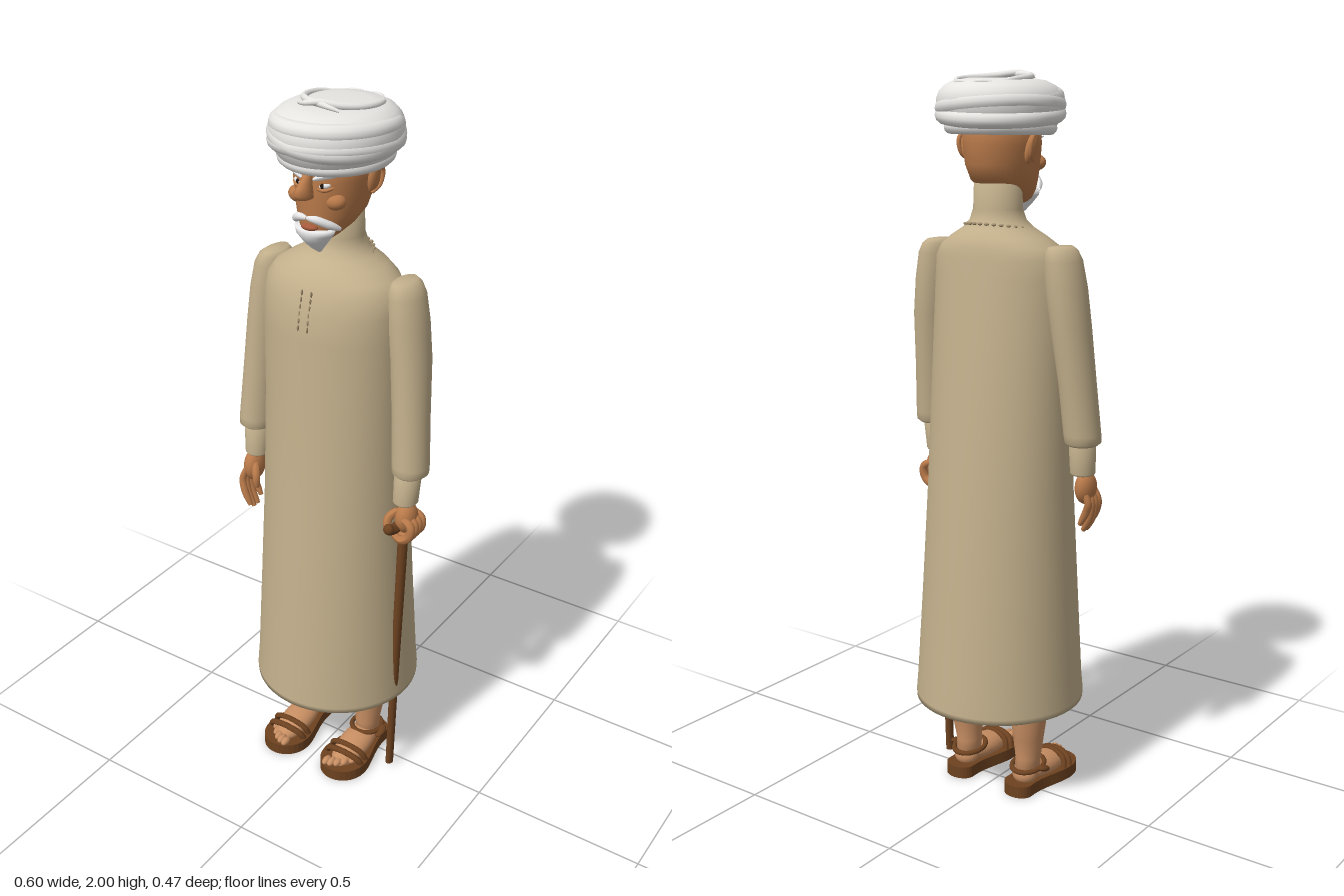
import * as THREE from 'three';

const mat = (name, color, side = THREE.FrontSide) => {
  const m = new THREE.MeshStandardMaterial({ color, side });
  m.name = name;
  return m;
};

// Closed skin over elliptical rings [y, cx, cz, rx, rz], listed bottom to top
function loft(rings, n = 40) {
  const pos = [], idx = [];
  for (const [y, cx, cz, rx, rz] of rings) {
    for (let j = 0; j < n; j++) {
      const a = (j / n) * Math.PI * 2;
      pos.push(cx + Math.cos(a) * rx, y, cz + Math.sin(a) * rz);
    }
  }
  for (let i = 0; i < rings.length - 1; i++) {
    for (let j = 0; j < n; j++) {
      const a = i * n + j, b = i * n + (j + 1) % n;
      idx.push(a, a + n, b, b, a + n, b + n);
    }
  }
  const last = rings.length - 1, c = rings.length * n;
  for (const r of [rings[0], rings[last]]) pos.push(r[1], r[0], r[2]);
  for (let j = 0; j < n; j++) {
    const k = (j + 1) % n;
    idx.push(c, j, k, c + 1, last * n + k, last * n + j);
  }
  const g = new THREE.BufferGeometry();
  g.setAttribute('position', new THREE.Float32BufferAttribute(pos, 3));
  g.setIndex(idx);
  g.computeVertexNormals();
  return g;
}

// Round strand through points, thinned towards its ends by `taper`
function strand(points, r, taper = 0, seg = 20) {
  const curve = new THREE.CatmullRomCurve3(points.map(p => new THREE.Vector3(...p)));
  const g = new THREE.TubeGeometry(curve, seg, r, 10, false);
  const p = g.attributes.position, v = new THREE.Vector3();
  for (let i = 0; i <= seg; i++) {
    const t = i / seg, c = curve.getPointAt(t);
    const k = 1 - taper * Math.pow(Math.abs(2 * t - 1), 3);
    for (let j = 0; j <= 10; j++) {
      v.fromBufferAttribute(p, i * 11 + j).sub(c).multiplyScalar(k).add(c);
      p.setXYZ(i * 11 + j, v.x, v.y, v.z);
    }
  }
  g.computeVertexNormals();
  return g;
}

export function createModel() {
  const root = new THREE.Group();
  root.name = 'robedElder';
  const cloth = mat('robe cloth', 0xc3b08c), seam = mat('robe stitching', 0xa39070);
  const skin = mat('skin', 0xb97a4a), limb = mat('leg skin', 0xc98f63);
  const white = mat('turban white', 0xe6e5e2), hair = mat('white hair', 0xf0f0f0);
  const wood = mat('brown wood and leather', 0x6d4220), dark = mat('pupil', 0x1e1410);
  const lipM = mat('lips', 0xa65a3c);

  const add = (name, geo, m, parent = root) => {
    const o = new THREE.Mesh(geo, m);
    o.name = name;
    parent.add(o);
    return o;
  };
  const ball = (name, m, at, size, rot = [0, 0, 0]) => {
    const o = add(name, new THREE.SphereGeometry(1, 24, 16), m);
    o.position.set(...at);
    o.scale.set(...size);
    o.rotation.set(...rot);
    return o;
  };

  // Long robe and high neck
  add('robe', loft([
    [0.27, 0, 0.002, 0.238, 0.237], [0.285, 0, 0.002, 0.239, 0.237], [0.34, 0, 0.002, 0.234, 0.232],
    [0.6, 0, 0.004, 0.221, 0.212], [0.9, 0, 0.005, 0.208, 0.188], [1.2, 0, 0.008, 0.202, 0.163],
    [1.4, 0, 0.015, 0.2, 0.15], [1.47, 0, 0.015, 0.199, 0.142], [1.52, 0, 0.01, 0.194, 0.132],
    [1.55, 0, 0.004, 0.173, 0.122], [1.575, 0, -0.001, 0.135, 0.108], [1.595, 0, -0.004, 0.1, 0.088],
    [1.615, 0, -0.006, 0.078, 0.072], [1.645, 0, -0.006, 0.067, 0.064], [1.74, 0, -0.006, 0.063, 0.062],
  ], 56), cloth);

  // Stitched collar and placket
  for (let i = 0; i < 28; i++) {
    const a = (i / 28) * Math.PI * 2, f = Math.sin(a);
    ball('collarStitch', seam, [Math.cos(a) * 0.088, 1.598 - f * 0.012, -0.004 + f * 0.083], [0.007, 0.004, 0.005]);
  }
  for (const x of [-0.014, 0.014])
    for (let i = 0; i < 6; i++)
      ball('placketStitch', seam, [x, 1.435 + i * 0.018, 0.162 - i * 0.004], [0.0025, 0.008, 0.004]);

  // Head
  add('head', loft([
    [1.655, 0, 0.085, 0.028, 0.026], [1.67, 0, 0.07, 0.047, 0.05], [1.69, 0, 0.045, 0.065, 0.082],
    [1.72, 0, 0.024, 0.081, 0.104], [1.76, 0, 0.016, 0.091, 0.114], [1.81, 0, 0.014, 0.097, 0.116],
    [1.88, 0, 0.008, 0.1, 0.114],
  ]), skin);
  add('nose', loft([
    [1.77, 0, 0.135, 0.008, 0.016], [1.776, 0, 0.145, 0.02, 0.026], [1.79, 0, 0.152, 0.021, 0.032],
    [1.805, 0, 0.145, 0.015, 0.028], [1.825, 0, 0.13, 0.011, 0.02], [1.842, 0, 0.12, 0.01, 0.015],
  ], 20), skin);
  ball('lowerLip', lipM, [0, 1.696, 0.127], [0.024, 0.009, 0.013]);

  // Goatee
  add('beard', loft([
    [1.618, 0, 0.082, 0.004, 0.006], [1.635, 0, 0.09, 0.018, 0.022], [1.655, 0, 0.096, 0.034, 0.036],
    [1.675, 0, 0.1, 0.05, 0.044], [1.69, 0, 0.1, 0.056, 0.042],
  ], 24), hair);

  // Paired features
  for (const s of [1, -1]) {
    add('moustache', strand([[0, 1.722, 0.138], [s * 0.022, 1.721, 0.134], [s * 0.045, 1.709, 0.117],
      [s * 0.066, 1.692, 0.088]], 0.0105, 0.6), hair);
    add('eyebrow', strand([[s * 0.016, 1.82, 0.133], [s * 0.038, 1.829, 0.126], [s * 0.068, 1.832, 0.102]],
      0.0075, 0.6), hair);
    ball('eye', hair, [s * 0.037, 1.804, 0.115], [0.017, 0.008, 0.009], [0, s * 0.35, s * 0.15]);
    ball('pupil', dark, [s * 0.035, 1.804, 0.121], [0.006, 0.007, 0.005]);
    add('lowerEyelid', strand([[s * 0.019, 1.797, 0.124], [s * 0.038, 1.793, 0.12], [s * 0.058, 1.799, 0.107]],
      0.005, 0.5), skin);
    ball('cheek', skin, [s * 0.052, 1.762, 0.092], [0.03, 0.022, 0.025]);
    ball('ear', skin, [s * 0.104, 1.803, -0.002], [0.013, 0.042, 0.021], [0.15, 0, -s * 0.2]);
    add('earRim', strand([[s * 0.104, 1.768, 0.008], [s * 0.112, 1.785, -0.016], [s * 0.117, 1.822, -0.021],
      [s * 0.115, 1.84, 0], [s * 0.107, 1.822, 0.016]], 0.006, 0.4), skin);
  }

  // Turban: main roll, slanted folds and the crossed cord on top
  const turban = new THREE.Group();
  turban.name = 'turban';
  root.add(turban);
  add('turbanRoll', loft([
    [1.84, 0, 0.008, 0.102, 0.116], [1.838, 0, 0.008, 0.122, 0.134], [1.852, 0, 0.008, 0.138, 0.148],
    [1.875, 0, 0.007, 0.156, 0.164], [1.9, 0, 0.007, 0.165, 0.172], [1.925, 0, 0.006, 0.165, 0.174],
    [1.945, 0, 0.005, 0.157, 0.166], [1.96, 0, 0.002, 0.142, 0.15], [1.972, 0, 0, 0.118, 0.125],
    [1.978, 0, 0, 0.08, 0.085],
  ], 56), white, turban);
  const folds = [[1.853, 0.128, 0.018, 0.02, 0], [1.888, 0.147, 0.022, -0.08, 0.05],
    [1.906, 0.145, 0.024, 0.06, -0.08], [1.93, 0.14, 0.024, -0.06, 0.03]];
  for (const [y, r, t, rx, rz] of folds) {
    const g = new THREE.TorusGeometry(r, t, 12, 56).rotateX(Math.PI / 2).scale(1, 1, 1.05);
    const o = add('turbanFold', g, white, turban);
    o.position.set(0, y, 0.006);
    o.rotation.set(rx, 0, rz);
  }
  for (const s of [1, -1]) {
    add('turbanCord', strand([[s * 0.07, 1.969, -0.092], [s * 0.09, 1.974, -0.062], [s * 0.096, 1.977, -0.02],
      [s * 0.085, 1.98, 0.02], [s * 0.05, 1.985, 0.058], [0, 1.99 + s * 0.002, 0.08],
      [-s * 0.035, 1.987, 0.09], [-s * 0.063, 1.981, 0.082 - s * 0.005]], 0.009, 0.6, 40), white, turban);
    add('turbanTuck', strand([[s * 0.008, 1.967, -0.13], [s * 0.035, 1.968, -0.125], [s * 0.062, 1.966, -0.113]],
      0.006, 0.7), white, turban);
  }

  for (const s of [1, -1]) {
    // Sleeve and cuff
    add('sleeve', loft([
      [1.03, s * 0.25, 0.032, 0.04, 0.042], [1.038, s * 0.251, 0.032, 0.049, 0.051],
      [1.06, s * 0.25, 0.03, 0.05, 0.052], [1.2, s * 0.24, 0.018, 0.049, 0.055],
      [1.35, s * 0.227, 0.004, 0.051, 0.062], [1.45, s * 0.214, 0, 0.052, 0.064],
      [1.52, s * 0.205, -0.003, 0.047, 0.061], [1.545, s * 0.201, -0.004, 0.037, 0.055],
      [1.556, s * 0.198, -0.004, 0.024, 0.046],
    ]), cloth);
    add('cuff', loft([
      [0.945, s * 0.245, 0.043, 0.03, 0.031], [0.95, s * 0.245, 0.043, 0.034, 0.035],
      [1.04, s * 0.247, 0.036, 0.037, 0.038],
    ], 28), cloth);

    // Leg, foot and toes
    add('leg', loft([
      [0.05, s * 0.105, -0.008, 0.033, 0.042], [0.1, s * 0.105, -0.005, 0.036, 0.038],
      [0.16, s * 0.108, -0.008, 0.043, 0.045], [0.24, s * 0.111, -0.012, 0.053, 0.056],
      [0.32, s * 0.112, -0.01, 0.056, 0.058],
    ], 28), limb);
    ball('foot', limb, [s * 0.104, 0.046, 0.065], [0.047, 0.035, 0.105], [0.12, 0, 0]);
    ball('heel', limb, [s * 0.104, 0.05, -0.02], [0.037, 0.032, 0.034]);
    for (let i = 0; i < 5; i++)
      ball('toe', limb, [s * (0.075 + i * 0.016), 0.044, 0.174 - i * i * 0.003], [0.0105, 0.011, 0.019]);

    // Sandal
    const sole = new THREE.Shape();
    sole.moveTo(-0.043, 0.03);
    sole.bezierCurveTo(-0.05, 0.085, 0.05, 0.085, 0.045, 0.03);
    sole.bezierCurveTo(0.04, -0.03, 0.07, -0.08, 0.07, -0.13);
    sole.bezierCurveTo(0.065, -0.225, -0.065, -0.235, -0.07, -0.135);
    sole.bezierCurveTo(-0.07, -0.08, -0.04, -0.03, -0.043, 0.03);
    const soleGeo = new THREE.ExtrudeGeometry(sole, { depth: 0.034, bevelEnabled: false, curveSegments: 14 });
    soleGeo.rotateX(-Math.PI / 2);
    add('sandalSole', soleGeo, wood).position.set(s * 0.103, 0, -0.012);
    const strap = (name, z, w, h, r) => add(name, strand([[s * 0.104 - w, 0.028, z - 0.01], [s * 0.104 - w * 0.8, h * 0.8, z],
      [s * 0.104, h, z + 0.006], [s * 0.104 + w * 0.8, h * 0.8, z], [s * 0.104 + w, 0.028, z - 0.01]], r), wood);
    strap('toeStrap', 0.13, 0.06, 0.066, 0.009);
    strap('toeStrap', 0.105, 0.06, 0.074, 0.008);
    const ankle = add('ankleStrap', new THREE.TorusGeometry(0.044, 0.007, 10, 32).rotateX(Math.PI / 2).scale(1, 1, 1.15), wood);
    ankle.position.set(s * 0.104, 0.072, -0.004);
    ankle.rotation.x = -0.12;
    ball('strapBuckle', wood, [s * 0.155, 0.07, 0.0], [0.014, 0.009, 0.024], [0.3, 0, 0]);
  }

  // Relaxed right hand
  ball('rightPalm', skin, [-0.25, 0.907, 0.052], [0.027, 0.047, 0.038], [-0.2, 0, 0.05]);
  for (let i = 0; i < 4; i++) {
    const z = 0.03 + i * 0.017, d = i === 0 ? 0.02 : i === 3 ? 0.012 : 0;
    add('rightFinger', strand([[-0.258, 0.905, z], [-0.268, 0.867, z + 0.006], [-0.26, 0.825 + d, z + 0.011],
      [-0.238, 0.782 + d, z + 0.013]], 0.0105, 0.4), skin);
  }
  add('rightThumb', strand([[-0.238, 0.925, 0.065], [-0.222, 0.895, 0.085], [-0.218, 0.857, 0.088]], 0.011, 0.4), skin);

  // Left hand closed round the cane
  ball('leftPalm', skin, [0.25, 0.9, 0.044], [0.03, 0.045, 0.038]);
  for (let i = 0; i < 4; i++) {
    const z = 0.014 + i * 0.019;
    add('leftFinger', strand([[0.252, 0.91, z], [0.28, 0.892, z + 0.002], [0.277, 0.86, z + 0.004],
      [0.25, 0.843, z + 0.004], [0.226, 0.856, z + 0.003]], 0.0125, 0.3), skin);
  }
  add('leftThumb', strand([[0.232, 0.925, 0.058], [0.213, 0.9, 0.076], [0.216, 0.872, 0.09]], 0.012, 0.4), skin);

  // Cane
  add('caneHandle', strand([[0.236, 0.866, -0.002], [0.236, 0.876, 0.04], [0.234, 0.876, 0.085], [0.232, 0.888, 0.112]],
    0.015, 0.15), wood);
  ball('caneKnob', wood, [0.232, 0.886, 0.106], [0.015, 0.016, 0.012]);
  add('caneShaft', loft([
    [0.01, 0.214, 0.042, 0.011, 0.013], [0.3, 0.221, 0.04, 0.012, 0.014],
    [0.6, 0.229, 0.036, 0.013, 0.015], [0.88, 0.236, 0.032, 0.014, 0.017],
  ], 16), wood);

  return root;
}
